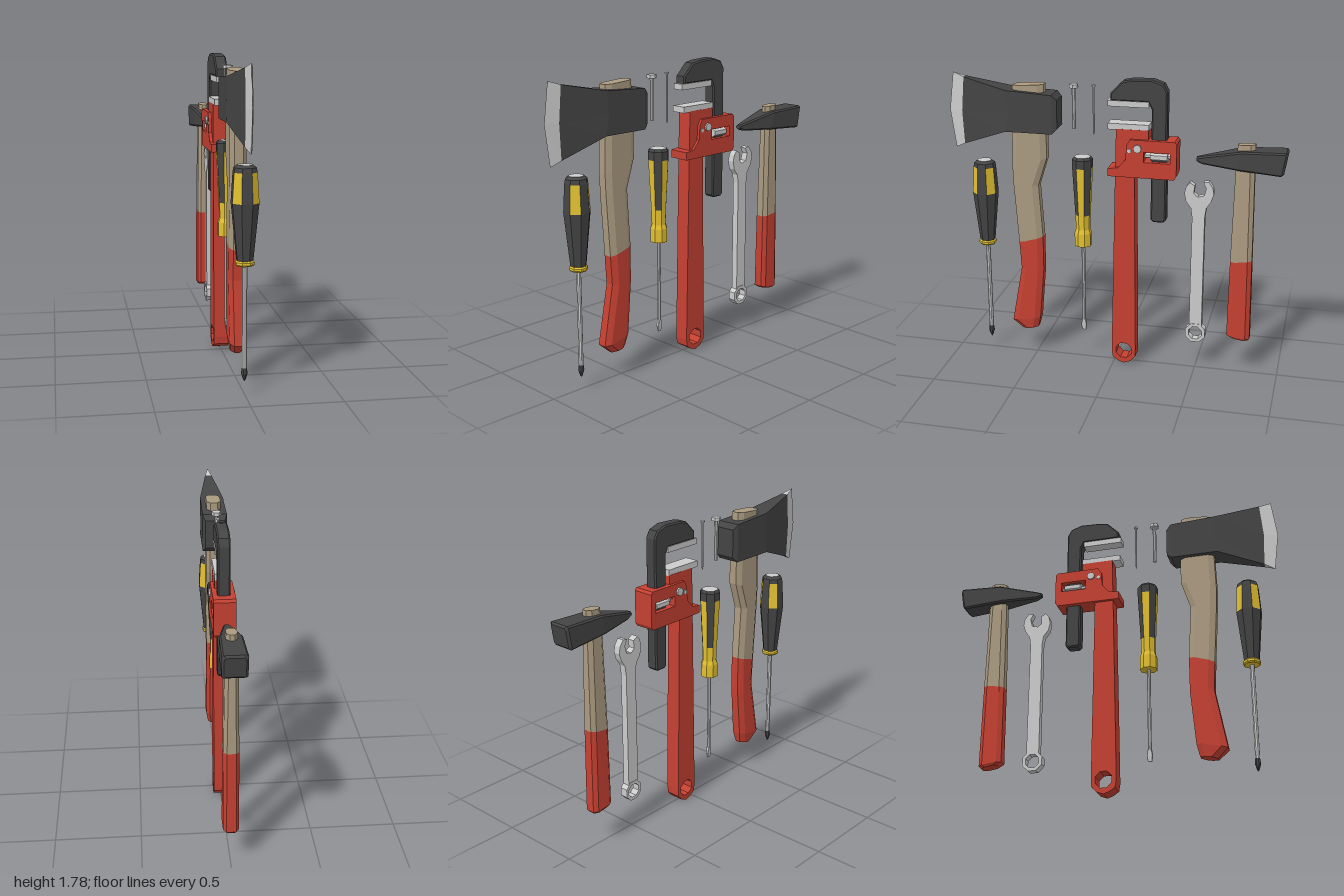
import * as THREE from 'three';

const mat = (color) => new THREE.MeshStandardMaterial({ color, flatShading: true, side: THREE.DoubleSide });
const GREY = mat(0xcccccc), DARK = mat(0x444444), RED = mat(0xc54032), WOOD = mat(0xaa9a80), YELLOW = mat(0xe2c030);

function add(parent, name, geo, material) {
  const mesh = new THREE.Mesh(geo, material);
  mesh.name = name;
  parent.add(mesh);
  return mesh;
}

function group(parent, name, z = 0) {
  const g = new THREE.Group();
  g.name = name;
  g.position.z = z;
  parent.add(g);
  return g;
}

// Closed skin through rings of [x, y, z] points, turned to face outward
function loft(rings) {
  const n = rings[0].length, pos = [];
  const tri = (a, b, c) => pos.push(...a, ...b, ...c);
  const mid = (ring) => [0, 1, 2].map((k) => ring.reduce((s, p) => s + p[k], 0) / n);
  for (let j = 0; j < n; j++) {
    const k = (j + 1) % n;
    for (let i = 0; i + 1 < rings.length; i++) {
      tri(rings[i][j], rings[i][k], rings[i + 1][k]);
      tri(rings[i][j], rings[i + 1][k], rings[i + 1][j]);
    }
    const first = rings[0], last = rings[rings.length - 1];
    tri(first[k], first[j], mid(first));
    tri(last[j], last[k], mid(last));
  }
  let volume = 0;
  const v = [0, 1, 2].map(() => new THREE.Vector3());
  for (let i = 0; i < pos.length; i += 9) {
    v.forEach((p, k) => p.fromArray(pos, i + 3 * k));
    volume += v[0].dot(v[1].clone().cross(v[2]));
  }
  if (volume < 0) {
    for (let i = 0; i < pos.length; i += 9) {
      const b = pos.slice(i + 3, i + 6);
      for (let k = 0; k < 3; k++) { pos[i + 3 + k] = pos[i + 6 + k]; pos[i + 6 + k] = b[k]; }
    }
  }
  const geo = new THREE.BufferGeometry();
  geo.setAttribute('position', new THREE.Float32BufferAttribute(pos, 3));
  geo.computeVertexNormals();
  return geo;
}

// Chamfered rectangle from (z0, y0) to (z1, y1), with half width hx
function oct([z0, y0, z1, y1, hx], cut, cutX = cut) {
  const t = cut / Math.hypot(z1 - z0, y1 - y0);
  const at = (x, s) => [x, y0 + (y1 - y0) * s, z0 + (z1 - z0) * s];
  const w = hx - cutX;
  return [at(w, 0), at(hx, t), at(hx, 1 - t), at(w, 1), at(-w, 1), at(-hx, 1 - t), at(-hx, t), at(-w, 0)];
}

// Side outline in (z, y), extruded evenly about x = 0
function slab(pts, hx, holes = [], bevel = 0) {
  const toV = (list) => list.map((p) => new THREE.Vector2(...p));
  const shape = new THREE.Shape(toV(pts));
  holes.forEach((h) => shape.holes.push(new THREE.Path(toV(h))));
  const geo = new THREE.ExtrudeGeometry(shape, {
    depth: 2 * (hx - bevel), bevelEnabled: bevel > 0, bevelThickness: bevel,
    bevelSize: bevel, bevelOffset: -bevel, bevelSegments: 1,
  });
  return geo.translate(0, 0, bevel - hx).rotateY(-Math.PI / 2);
}

const ngon = (z, y, r, n = 8) => Array.from({ length: n }, (_, i) => {
  const a = ((i + 0.5) / n) * Math.PI * 2;
  return [z + r * Math.cos(a), y + r * Math.sin(a)];
});

const turn = (pts, sides = 8, start = -Math.PI / sides, length = Math.PI * 2) =>
  new THREE.LatheGeometry(pts.map((p) => new THREE.Vector2(...p)), sides, start, length);

// Eight-sided grip with bands whose diagonal and straight faces may differ in colour
function grip(parent, bands) {
  bands.forEach(([pts, straight, diagonal]) => {
    for (let k = 0; k < 8; k++) {
      add(parent, 'gripFacet', turn(pts, 1, (k - 0.5) * Math.PI / 4, Math.PI / 4), k % 2 ? diagonal : straight);
    }
  });
}

function buildAxe(root) {
  const g = group(root, 'axe');
  const ring = (bottom, middle, top, hx) => {
    const side = [bottom, middle, top];
    return [...side.map(([z, y]) => [hx, y, z]), ...side.reverse().map(([z, y]) => [-hx, y, z])];
  };
  const bevelRing = ring([0.91, 1.34], [0.918, 1.54], [0.9, 1.742], 0.02);
  add(g, 'axeHead', loft([
    ring([0.33, 1.47], [0.33, 1.555], [0.33, 1.64], 0.058),
    ring([0.36, 1.44], [0.36, 1.555], [0.36, 1.67], 0.072),
    ring([0.64, 1.44], [0.62, 1.555], [0.63, 1.685], 0.07),
    bevelRing,
  ]), DARK);
  add(g, 'axeEdge', loft([bevelRing, ring([0.97, 1.31], [1, 1.54], [0.97, 1.765], 0.001)]), GREY);
  const haft = (rows) => loft(rows.map((r) => oct(r, 0.034, 0.02)));
  const paintLine = [0.59, 0.74, 0.44, 0.785, 0.045];
  add(g, 'axeHaft', haft([
    [0.605, 1.71, 0.417, 1.722, 0.042], [0.612, 1.44, 0.406, 1.44, 0.045],
    [0.618, 1.22, 0.406, 1.28, 0.045], [0.614, 1.1, 0.46, 1.11, 0.045], paintLine,
  ]), WOOD);
  add(g, 'axeGrip', haft([
    paintLine, [0.58, 0.57, 0.44, 0.57, 0.045], [0.645, 0.215, 0.468, 0.25, 0.047], [0.585, 0.16, 0.485, 0.178, 0.036],
  ]), RED);
}

function buildHammer(root) {
  const g = group(root, 'hammer');
  const paintLine = [-0.695, 0.722, -0.822, 0.738, 0.043];
  const handle = (rows) => loft(rows.map((r) => oct(r, 0.025, 0.018)));
  add(g, 'hammerHandle', handle([
    [-0.712, 1.43, -0.812, 1.437, 0.03], [-0.705, 1.26, -0.815, 1.26, 0.036], paintLine,
  ]), WOOD);
  add(g, 'hammerGrip', handle([
    paintLine, [-0.69, 0.25, -0.828, 0.235, 0.045], [-0.71, 0.235, -0.815, 0.22, 0.036],
  ]), RED);
  add(g, 'hammerHead', loft([
    [-0.48, 1.318, -0.48, 1.342, 0.018], [-0.51, 1.305, -0.51, 1.35, 0.024],
    [-0.72, 1.29, -0.74, 1.402, 0.062], [-0.965, 1.272, -0.988, 1.41, 0.068], [-0.98, 1.285, -0.998, 1.398, 0.056],
  ].map((r) => oct(r, 0.009))), DARK);
}

function buildPipeWrench(root) {
  const g = group(root, 'pipeWrench');
  add(g, 'wrenchHandle', slab([
    [-0.016, 1.49], [-0.01, 1.2], [0.01, 0.08], [0.003, 0.035], [-0.03, 0.012], [-0.065, 0], [-0.105, 0.015],
    [-0.137, 0.05], [-0.138, 0.1], [-0.125, 1.2], [-0.205, 1.4], [-0.205, 1.49],
  ], 0.045, [ngon(-0.065, 0.085, 0.052)]), RED);
  const window = [[-0.18, 1.305], [-0.335, 1.305], [-0.335, 1.365], [-0.18, 1.365]];
  add(g, 'wrenchHousing', slab([
    [-0.1, 1.435], [-0.36, 1.435], [-0.372, 1.42], [-0.372, 1.23], [-0.36, 1.21], [0.03, 1.21],
    [0.03, 1.256], [-0.03, 1.263], [-0.075, 1.315], [-0.08, 1.4],
  ], 0.063, [window]), RED);
  add(g, 'slidingJaw', slab([
    [0.02, 1.65], [0.02, 1.695], [-0.05, 1.765], [-0.1, 1.775], [-0.22, 1.78], [-0.285, 1.758], [-0.31, 1.715],
    [-0.31, 0.95], [-0.295, 0.935], [-0.235, 0.935], [-0.22, 0.95], [-0.22, 1.61], [-0.2, 1.65],
  ], 0.036, [], 0.008), DARK);
  const jaw = (name, y, hx, h, z) => add(g, name, new THREE.BoxGeometry(2 * hx, h, 0.24), GREY).position.set(0, y, z);
  jaw('upperJawPlate', 1.635, 0.034, 0.034, -0.083);
  jaw('lowerJawPlate', 1.503, 0.044, 0.036, -0.087);
  // Adjusting roller on its spindle
  [['adjustingRoller', 0.032, 0.1, -0.267], ['rollerSpindle', 0.018, 0.155, -0.257]].forEach(([name, r, len, z]) => {
    const m = add(g, name, new THREE.CylinderGeometry(r, r, len, 8).rotateY(Math.PI / 8).rotateX(Math.PI / 2), GREY);
    m.scale.x = 1.8;
    m.position.set(0, 1.335, z);
  });
  // Pivot pins show on both sides
  [[0.024, 0.148, -0.145, 1.385], [0.012, 0.136, -0.097, 1.37]].forEach(([r, len, z, y]) =>
    add(g, 'housingPin', new THREE.CylinderGeometry(r, r, len, 8).rotateZ(Math.PI / 2), GREY).position.set(0, y, z));
}

function buildSpanner(root) {
  const g = group(root, 'spanner');
  const lower = ngon(-0.5, 0.24, 0.064).slice(2).concat(ngon(-0.5, 0.24, 0.064).slice(0, 2));
  add(g, 'spannerRing', slab(lower, 0.024, [ngon(-0.5, 0.24, 0.043)]), GREY);
  add(g, 'spannerBody', slab([
    [-0.462, 0.286], [-0.463, 0.98], [-0.455, 1.035], [-0.425, 1.075], [-0.415, 1.125], [-0.425, 1.165], [-0.445, 1.19],
    [-0.475, 1.172], [-0.47, 1.125], [-0.495, 1.105], [-0.53, 1.115], [-0.542, 1.16], [-0.525, 1.195],
    [-0.555, 1.2], [-0.58, 1.165], [-0.587, 1.125], [-0.572, 1.08], [-0.545, 1.04], [-0.537, 0.98], [-0.538, 0.286],
  ], 0.021), GREY);
}

function buildScrewdrivers(root) {
  const a = group(root, 'crossScrewdriver', 0.8);
  grip(a, [
    [[[0, 0.705], [0.046, 0.705], [0.053, 0.713], [0.053, 0.726], [0.046, 0.734]], YELLOW, YELLOW],
    [[[0.046, 0.734], [0.077, 1.04]], DARK, DARK],
    [[[0.077, 1.04], [0.067, 1.2]], DARK, YELLOW],
    [[[0.067, 1.2], [0.062, 1.225], [0.043, 1.24]], DARK, DARK],
    [[[0.043, 1.24], [0, 1.243]], GREY, GREY],
  ]);
  add(a, 'shaft', turn([[0.014, 0.13], [0.014, 0.71]]), GREY);
  add(a, 'crossTip', turn([[0, 0.07], [0.007, 0.08], [0.018, 0.115], [0.014, 0.145], [0, 0.145]]), DARK);

  const b = group(root, 'flatScrewdriver', 0.195);
  grip(b, [
    [[[0, 0.745], [0.052, 0.745], [0.052, 0.825], [0.043, 0.85], [0.046, 0.94]], YELLOW, YELLOW],
    [[[0.046, 0.94], [0.062, 1.235]], YELLOW, DARK],
    [[[0.062, 1.235], [0.062, 1.285], [0.05, 1.3]], DARK, DARK],
    [[[0.05, 1.3], [0, 1.302]], GREY, GREY],
  ]);
  add(b, 'shaft', turn([[0.011, 0.24], [0.011, 0.75]]), GREY);
  add(b, 'flatTip', loft([
    [-0.011, 0.25, 0.011, 0.25, 0.011], [-0.017, 0.215, 0.017, 0.215, 0.008], [-0.012, 0.18, 0.012, 0.18, 0.003],
  ].map((r) => oct(r, 0.002))), GREY);
}

function buildFasteners(root) {
  const bolt = group(root, 'bolt', 0.243);
  add(bolt, 'boltShank', turn([[0, 1.465], [0.011, 1.465], [0.011, 1.71]]), GREY);
  add(bolt, 'boltHead', turn([[0, 1.707], [0.028, 1.707], [0.028, 1.727], [0, 1.727]], 6), GREY);
  const nail = group(root, 'nail', 0.125);
  add(nail, 'nailBody', turn([[0, 1.43], [0.006, 1.455], [0.006, 1.72], [0.013, 1.72], [0.013, 1.728], [0, 1.728]], 6), GREY);
}

export function createModel() {
  const root = new THREE.Group();
  root.name = 'toolSet';
  [buildAxe, buildHammer, buildPipeWrench, buildSpanner, buildScrewdrivers, buildFasteners].forEach((build) => build(root));
  return root;
}
